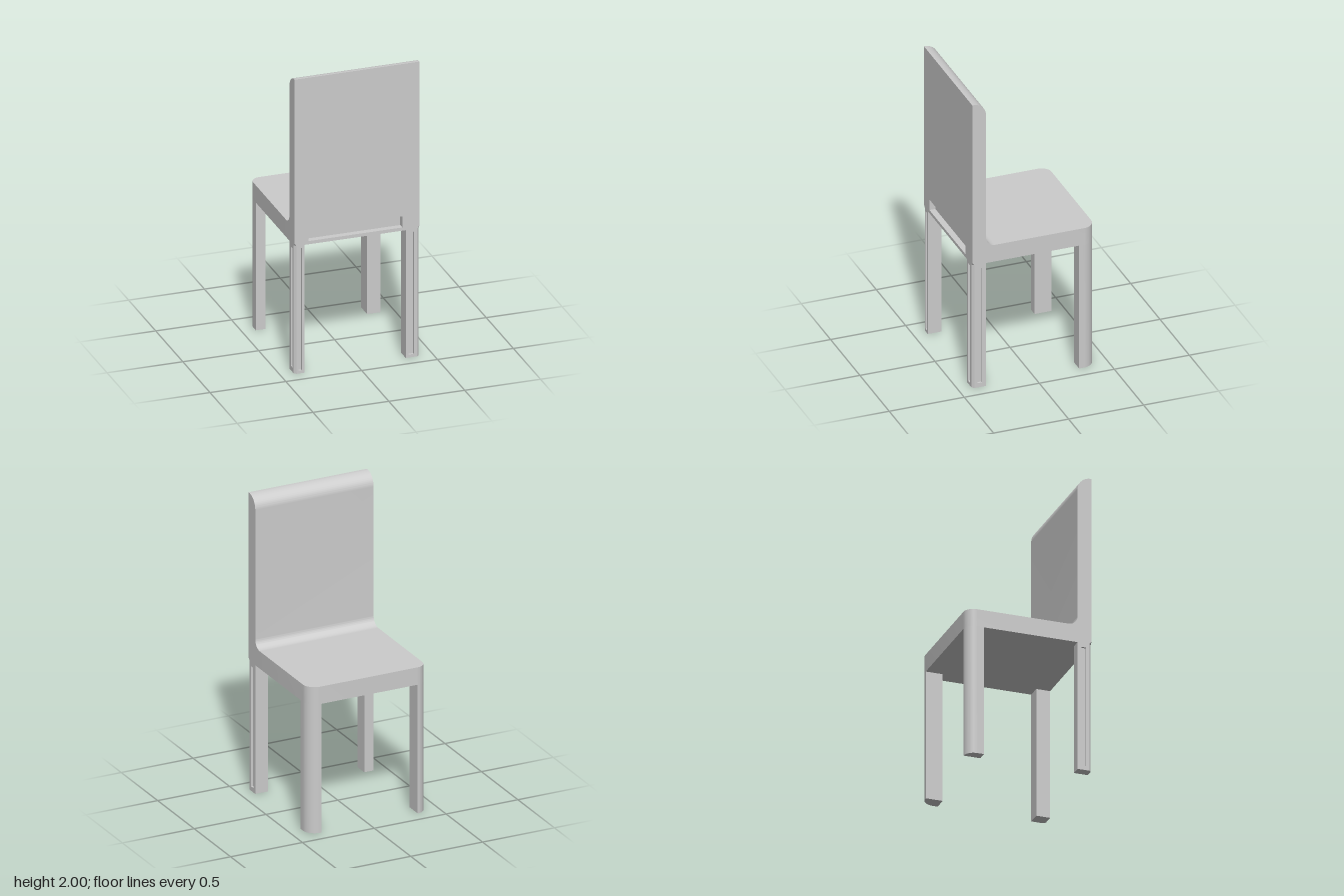
import * as THREE from 'three';
import { toCreasedNormals } from 'three/addons/utils/BufferGeometryUtils.js';
import { ConvexGeometry } from 'three/addons/geometries/ConvexGeometry.js';

const H = 0.412;                 // half width and half depth
const SEAT_LOW = 0.868, SEAT_TOP = 0.985;
const CUT = 0.014;               // chamfer on the outer corners of the front legs
const SLOT = 0.04;               // depth of the hand slot
const material = new THREE.MeshStandardMaterial({ color: 0xcccccc });

function addMesh(parent, name, geometry) {
  const mesh = new THREE.Mesh(geometry, material);
  mesh.name = name;
  parent.add(mesh);
  return mesh;
}

// Extrudes a shape and keeps its rounded corners smooth
function extrude(shape, depth) {
  const g = new THREE.ExtrudeGeometry(shape, { depth, bevelEnabled: false, curveSegments: 16 });
  return toCreasedNormals(g, 0.5);
}

// Plan shape (x, -z) raised from y0 to y1
function raise(shape, y0, y1) {
  return extrude(shape, y1 - y0).rotateX(-Math.PI / 2).translate(0, y0, 0);
}

const polygon = (pts) => new THREE.Shape(pts.map(([x, y]) => new THREE.Vector2(x, y)));

// Seat slab with two rounded rear corners
function seatShape(rRight, rLeft) {
  const s = new THREE.Shape();
  const front = -(H - SLOT);
  s.moveTo(-H, front);
  s.lineTo(H, front);
  s.lineTo(H, H - rLeft);
  s.absarc(H - rLeft, H - rLeft, rLeft, 0, Math.PI / 2, false);
  s.lineTo(-H + rRight, H);
  s.absarc(-H + rRight, H - rRight, rRight, Math.PI / 2, Math.PI, false);
  s.closePath();
  return s;
}

// Rear leg section with its outer corner rounded to match the seat
function rearLegShape(side, width, r) {
  const s = new THREE.Shape();
  const cx = side * (H - r), cy = H - r;
  s.moveTo(side * (H - width), 0.3);
  s.lineTo(side * H, 0.3);
  s.lineTo(side * H, cy);
  s.absarc(cx, cy, r, side > 0 ? 0 : Math.PI, Math.PI / 2, side < 0);
  s.lineTo(side * (H - width), H);
  s.closePath();
  return s;
}

// Front leg section: chamfered outer corner, optional grooves in the front and outer faces
function frontLegShape(side, width, groove, frontGroove, sideGroove) {
  const deep = 0.014;
  const pts = [[H - width, 0.32], [H, 0.32]];
  if (sideGroove) pts.push([H, 0.346], [H - deep, 0.346], [H - deep, 0.376], [H, 0.376]);
  pts.push([H, H - CUT], [H - CUT, H]);
  if (frontGroove) {
    const [inner, outer] = groove;
    pts.push([outer, H], [outer, H - deep], [inner, H - deep], [inner, H]);
  }
  pts.push([H - width, H]);
  return polygon(pts.map(([x, z]) => [side * x, -z]));
}

function frontLeg(side, width, groove) {
  const leg = new THREE.Group();
  // [from, to, front groove, side groove]
  const layers = [
    [0, 0.02, false, false], [0.02, 0.03, true, false], [0.03, 0.84, true, true],
    [0.84, 0.85, true, false], [0.85, SEAT_LOW, false, false],
  ];
  for (const [y0, y1, f, s] of layers) {
    addMesh(leg, 'legSection', raise(frontLegShape(side, width, groove, f, s), y0, y1));
  }
  return leg;
}

export function createModel() {
  const chair = new THREE.Group();
  chair.name = 'chair';

  // Seat
  addMesh(chair, 'seat', raise(seatShape(0.065, 0.082), SEAT_LOW, SEAT_TOP));

  // Rail with a recessed slot below the backrest
  const e = H - CUT;
  const rail = polygon([[-e, SEAT_LOW], [e, SEAT_LOW], [e, SEAT_TOP], [-e, SEAT_TOP]]);
  rail.holes.push(polygon([[-0.32, 0.89], [-0.32, 0.965], [0.3, 0.965], [0.3, 0.89]]));
  addMesh(chair, 'slottedRail', extrude(rail, SLOT).translate(0, 0, H - SLOT));

  // Rail ends, sloping into the leg chamfers
  for (const side of [-1, 1]) {
    const b = H - SLOT;
    const pts = [
      [e, SEAT_TOP, b], [H, SEAT_TOP, b], [e, SEAT_TOP, H], [H, SEAT_TOP, H],
      [e, SEAT_LOW, b], [H, SEAT_LOW, b], [e, SEAT_LOW, H], [H, SEAT_LOW, e],
      [H, SEAT_LOW + 0.017, H],
    ].map(([x, y, z]) => new THREE.Vector3(side * x, y, z));
    addMesh(chair, 'railEnd', new ConvexGeometry(pts));
  }

  // Backrest: side profile (z, y) with a rounded top and a fillet onto the seat
  const back = new THREE.Shape();
  const zi = 0.32, fillet = 0.06, r = 0.086;
  back.moveTo(H, SEAT_TOP);
  back.lineTo(H, 2);
  back.lineTo(zi + r, 2);
  back.absarc(zi + r, 2 - r, r, Math.PI / 2, Math.PI, false);
  back.lineTo(zi, SEAT_TOP + fillet);
  back.absarc(zi - fillet, SEAT_TOP + fillet, fillet, 0, -Math.PI / 2, true);
  back.closePath();
  const backGeometry = extrude(back, 2 * H).rotateY(-Math.PI / 2).translate(H, 0, 0);
  addMesh(chair, 'backrest', backGeometry);

  // Legs: the left pair is wider than the right pair
  const pairs = [
    { side: -1, label: 'Right', width: 0.065, radius: 0.065, groove: [0.362, 0.385] },
    { side: 1, label: 'Left', width: 0.09, radius: 0.082, groove: [0.34, 0.375] },
  ];
  for (const { side, label, width, radius, groove } of pairs) {
    const front = frontLeg(side, width, groove);
    front.name = 'front' + label + 'Leg';
    chair.add(front);
    addMesh(chair, 'rear' + label + 'Leg', raise(rearLegShape(side, width, radius), 0, SEAT_LOW));
  }
  return chair;
}
